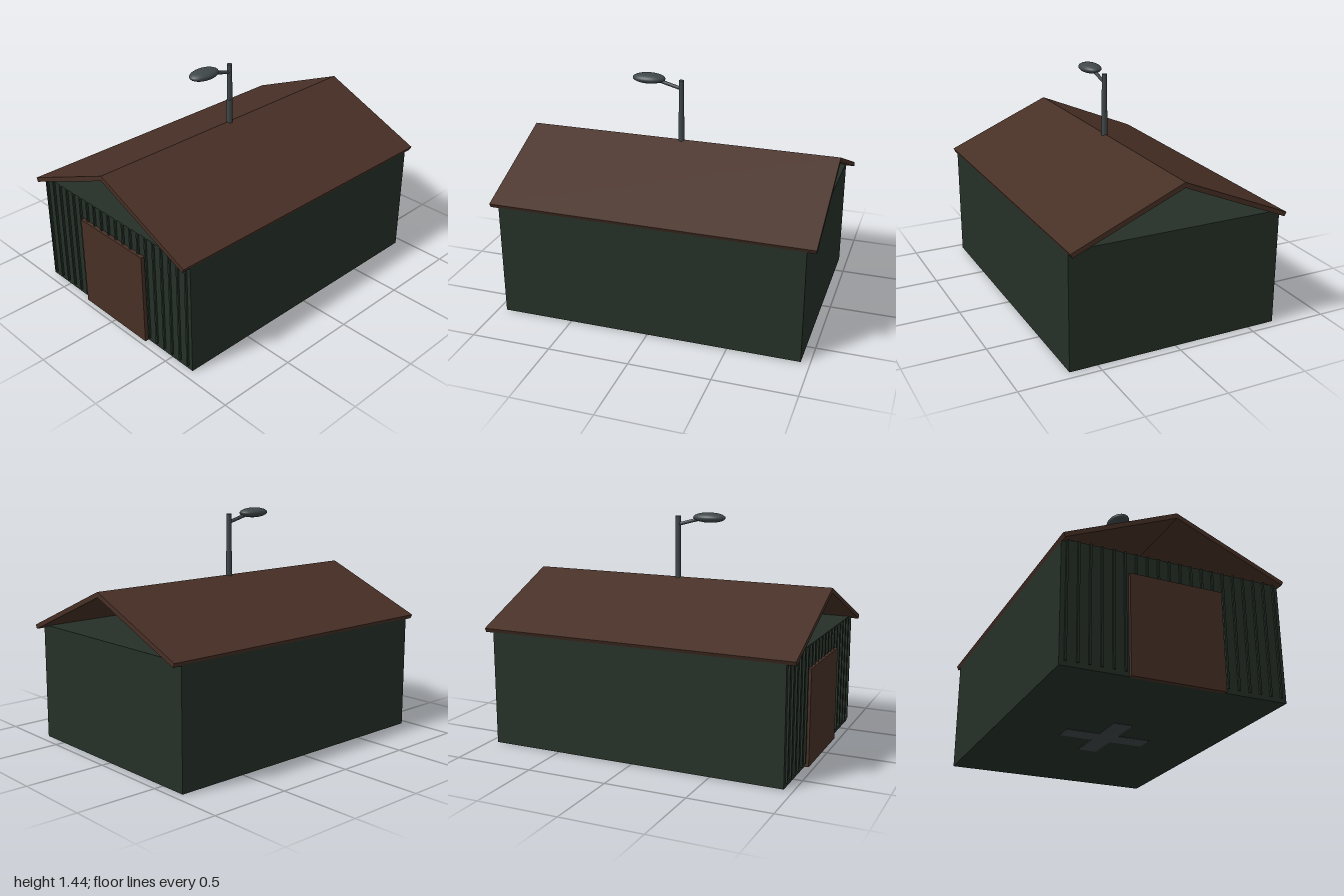
import * as THREE from 'three';

const material = (name, color) => {
  const m = new THREE.MeshStandardMaterial({ color });
  m.name = name;
  return m;
};

export function createModel() {
  const green = material('wall green', 0x253027);
  const brown = material('roof brown', 0x472f25);
  const metal = material('dark metal', 0x3f4749);
  const yellow = material('ochre yellow', 0xb5720f);

  const model = new THREE.Group();
  model.name = 'barn';

  const add = (name, geometry, mat, x = 0, y = 0, z = 0, parent = model) => {
    const mesh = new THREE.Mesh(geometry, mat);
    mesh.name = name;
    mesh.position.set(x, y, z);
    parent.add(mesh);
    return mesh;
  };
  const group = (name) => {
    const g = new THREE.Group();
    g.name = name;
    model.add(g);
    return g;
  };
  const box = (name, mat, w, h, d, x, y, z, parent) =>
    add(name, new THREE.BoxGeometry(w, h, d), mat, x, y, z, parent);

  // Closed wall block, open gables above it
  box('walls', green, 1.348, 0.727, 1.89, 0, 0.3655, 0);

  // Vertical battens on the front wall
  const battens = group('frontBattens');
  for (let i = 0; i < 20; i++) {
    box('batten', green, 0.012, 0.7, 0.014, -0.641 + i * 0.0675, 0.379, 0.95, battens);
  }

  // Large front door
  box('door', brown, 0.566, 0.596, 0.03, 0, 0.298, 0.954);

  // Roof: chevron profile along the whole length
  const roofShape = new THREE.Shape([
    [0, 1.025], [-0.684, 0.735], [-0.672, 0.71],
    [0, 0.993], [0.672, 0.71], [0.684, 0.735],
  ].map(([x, y]) => new THREE.Vector2(x, y)));
  add('roof', new THREE.ExtrudeGeometry(roofShape, { depth: 2, bevelEnabled: false }), brown, 0, 0, -1);

  // Lamp post through the ridge
  const lamp = group('lampPost');
  add('lowerPole', new THREE.CylinderGeometry(0.018, 0.022, 1.17, 16), metal, 0, 0.59, 0, lamp);
  add('upperPole', new THREE.CylinderGeometry(0.016, 0.017, 0.24, 16), metal, 0, 1.288, 0, lamp);
  const armPath = new THREE.LineCurve3(new THREE.Vector3(0, 1.355, 0), new THREE.Vector3(0, 1.395, 0.15));
  add('lampArm', new THREE.TubeGeometry(armPath, 1, 0.011, 10), metal, 0, 0, 0, lamp);
  const head = add('lampHead', new THREE.SphereGeometry(1, 24, 14), metal, 0, 1.405, 0.21, lamp);
  head.scale.set(0.065, 0.031, 0.105);

  // Railed loft platform
  const loft = group('loftPlatform');
  box('platform', metal, 0.59, 0.012, 0.6, 0, 0.734, 0, loft);
  for (const s of [-1, 1]) {
    box('longRail', metal, 0.59, 0.016, 0.02, 0, 0.838, s * 0.27, loft);
    box('sideRail', metal, 0.02, 0.016, 0.54, s * 0.27, 0.838, 0, loft);
    for (const t of [-1, 1]) {
      add('railPost', new THREE.CylinderGeometry(0.009, 0.009, 0.1, 10), metal, s * 0.27, 0.785, t * 0.27, loft);
    }
  }

  // Ochre cabinet with bolts, and a small capped vent pipe before it
  const cabinet = group('cabinet');
  box('cabinetBody', yellow, 0.172, 0.2, 0.12, 0.054, 0.837, -0.1, cabinet);
  for (const x of [0.022, 0.088]) {
    const bolt = add('bolt', new THREE.CylinderGeometry(0.005, 0.005, 0.008, 8), metal, x, 0.91, -0.038, cabinet);
    bolt.rotation.x = Math.PI / 2;
  }
  add('ventPipe', new THREE.CylinderGeometry(0.007, 0.007, 0.2, 10), metal, 0.052, 0.832, 0.1, cabinet);
  add('ventCap', new THREE.CylinderGeometry(0.008, 0.042, 0.035, 16), metal, 0.052, 0.882, 0.1, cabinet);

  // Crossed foot plates under the floor
  const feet = group('footPlates');
  box('footPlate', metal, 0.54, 0.004, 0.12, 0, 0.002, 0, feet);
  box('footPlate', metal, 0.12, 0.004, 0.54, 0, 0.002, 0, feet);

  return model;
}
